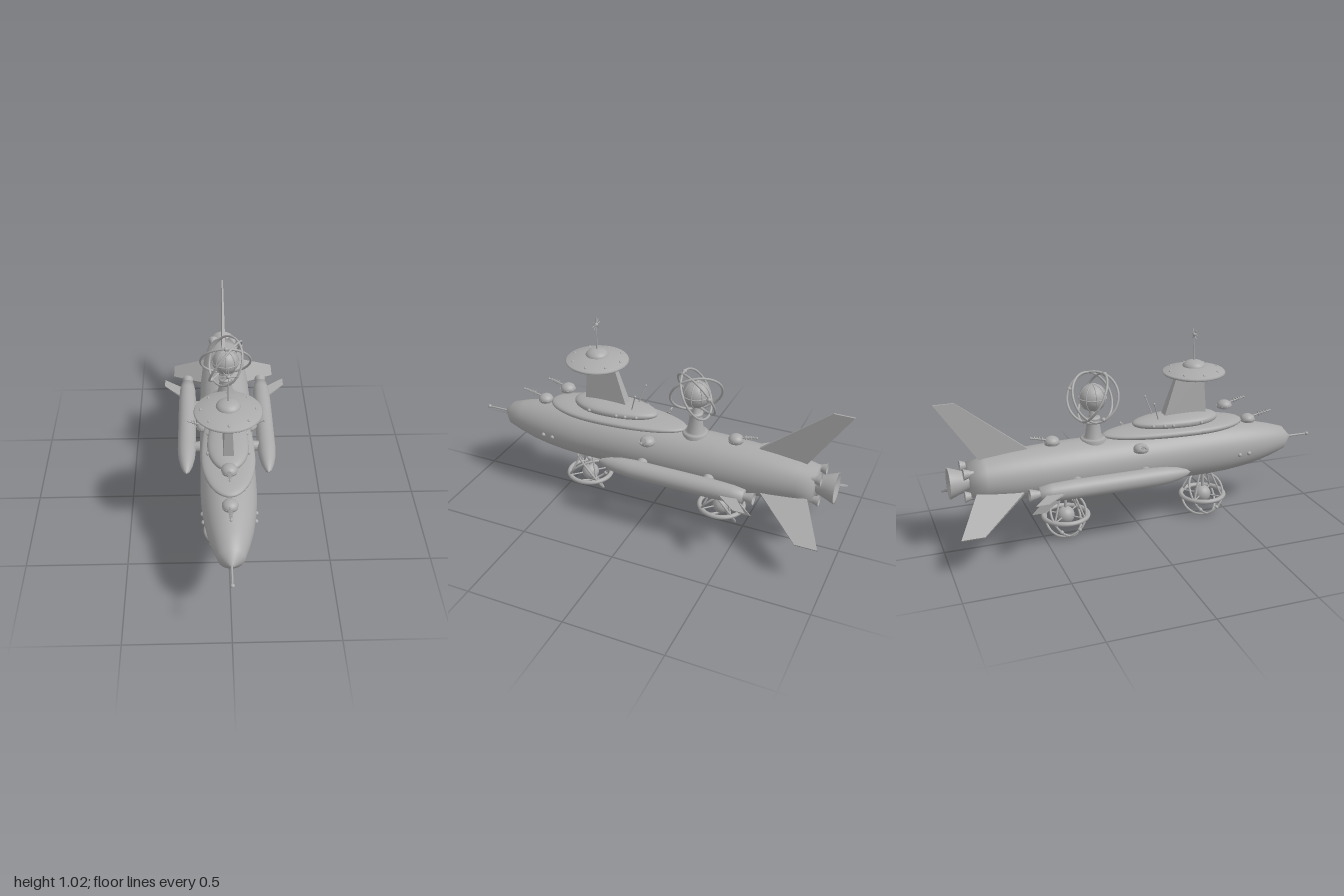
import * as THREE from 'three';

const hullGrey = new THREE.MeshStandardMaterial({ color: 0xaaaaaa });
hullGrey.name = 'hullGrey';

const V = (x, y, z) => new THREE.Vector3(x, y, z);
const UP = V(0, 1, 0);

function add(parent, name, geo, x = 0, y = 0, z = 0) {
  const m = new THREE.Mesh(geo, hullGrey);
  m.name = name;
  m.position.set(x, y, z);
  parent.add(m);
  return m;
}

function group(parent, name, x = 0, y = 0, z = 0) {
  const g = new THREE.Group();
  g.name = name;
  g.position.set(x, y, z);
  parent.add(g);
  return g;
}

const ball = (parent, name, r, x, y, z) => add(parent, name, new THREE.SphereGeometry(r, 20, 14), x, y, z);

// Lathe from [radius, height] pairs, listed from the bottom up
const lathe = (pts, n = 40) => new THREE.LatheGeometry(pts.map(p => new THREE.Vector2(p[0], p[1])), n);
const latheZ = (pts, n) => lathe(pts, n).rotateX(Math.PI / 2);

// Straight round bar between two points
function rod(parent, name, a, b, r0, r1 = r0) {
  const d = b.clone().sub(a);
  const m = add(parent, name, new THREE.CylinderGeometry(r1, r0, d.length(), 12));
  m.position.copy(a).addScaledVector(d, 0.5);
  m.quaternion.setFromUnitVectors(UP, d.normalize());
  return m;
}

// Ring whose axis follows the given normal
function ring(parent, name, R, r, n) {
  const m = add(parent, name, new THREE.TorusGeometry(R, r, 10, 56));
  m.quaternion.setFromUnitVectors(V(0, 0, 1), n.clone().normalize());
  return m;
}

// Fin from [z, radius] corners, thinning toward the tip, turned around z
function fin(parent, name, corners, thick, angle) {
  const s = new THREE.Shape(corners.map(c => new THREE.Vector2(c[0], c[1])));
  const g = new THREE.ExtrudeGeometry(s, { depth: thick, bevelEnabled: false });
  g.translate(0, 0, -thick / 2).rotateY(-Math.PI / 2);
  const rs = corners.map(c => c[1]), lo = Math.min(...rs), hi = Math.max(...rs);
  const p = g.attributes.position;
  for (let i = 0; i < p.count; i++) p.setX(i, p.getX(i) * (1 - 0.65 * (p.getY(i) - lo) / (hi - lo)));
  g.computeVertexNormals();
  const m = add(parent, name, g);
  m.rotation.z = angle;
}

// Teardrop deck: flattened sphere with different front and rear lengths
function deck(parent, name, w, h, front, rear, y, z) {
  const g = new THREE.SphereGeometry(1, 48, 24);
  const p = g.attributes.position;
  for (let i = 0; i < p.count; i++) {
    const k = p.getZ(i), py = p.getY(i);
    p.setXYZ(i, p.getX(i) * w, Math.sign(py) * Math.pow(Math.abs(py), 0.85) * h, k * (k > 0 ? front : rear));
  }
  g.computeVertexNormals();
  add(parent, name, g, x0, y, z);
}
const x0 = 0;

// Domed turret with a ribbed gun pointing along +z before turning
function turret(parent, x, y, z, yaw, len = 0.13) {
  const t = group(parent, 'turret', x, y, z);
  t.rotation.y = yaw;
  add(t, 'turretBase', new THREE.CylinderGeometry(0.04, 0.036, 0.012, 24), 0, -0.012, 0);
  add(t, 'turretDome', new THREE.SphereGeometry(0.038, 24, 10, 0, Math.PI * 2, 0, Math.PI / 2).scale(1, 0.75, 1), 0, -0.006, 0);
  const tip = V(0, 0.026, len), dir = tip.clone().normalize();
  rod(t, 'gunBarrel', V(0, 0.005, 0.015), tip, 0.004);
  for (let i = 0; i < 4; i++) {
    const c = dir.clone().multiplyScalar(len * (0.5 + i * 0.12));
    c.y += 0.003;
    rod(t, 'gunRib', c.clone().addScaledVector(dir, -0.002), c.clone().addScaledVector(dir, 0.002), 0.011 - i * 0.0012);
  }
  ball(t, 'gunTip', 0.006, 0, 0.026, len);
}

export function createModel() {
  const model = new THREE.Group();
  model.name = 'rocketShip';
  const AX = 0.367;

  // Hull, nose probe and engines
  const hull = group(model, 'hull', 0, AX, 0);
  add(hull, 'hullBody', latheZ([[0, -0.86], [0.092, -0.86], [0.108, -0.78], [0.121, -0.66], [0.131, -0.52], [0.136, -0.35],
    [0.136, 0.38], [0.132, 0.48], [0.122, 0.58], [0.107, 0.67], [0.087, 0.75], [0.062, 0.83], [0.012, 0.875], [0, 0.88]], 48));
  rod(hull, 'noseProbe', V(0, 0, 0.86), V(0, 0, 0.99), 0.006, 0.004);
  ball(hull, 'probeTip', 0.01, 0, 0, 0.99);
  const bell = (p, name, x, y, z, r0, r1, len) => add(p, name, latheZ([[0, -len * 0.6], [r1 * 0.9, -len], [r1, -len],
    [r0 + (r1 - r0) * 0.45, -len * 0.45], [r0, 0], [r0, 0.02]], 28), x, y, z);
  bell(hull, 'mainNozzle', 0, 0, -0.86, 0.042, 0.078, 0.095);
  for (const sx of [-1, 1]) for (const sy of [-1, 1]) bell(hull, 'smallNozzle', sx * 0.055, sy * 0.058, -0.855, 0.016, 0.028, 0.034);
  fin(hull, 'topFin', [[-0.53, 0.1], [-0.9, 0.398], [-1, 0.398], [-0.79, 0.08]], 0.024, 0);
  for (const s of [-1, 1]) {
    fin(hull, 'lowerFin', [[-0.575, 0.09], [-0.845, 0.335], [-0.955, 0.335], [-0.83, 0.08]], 0.024, s * Math.PI * 2 / 3);
    ball(hull, 'porthole', 0.011, s * 0.122, -0.014, 0.58);
    ball(hull, 'porthole', 0.011, s * 0.126, -0.014, 0.525);
  }

  // Side pods, mirrored
  for (const s of [-1, 1]) {
    const pod = group(model, 'sidePod', s * 0.205, 0.337, 0);
    add(pod, 'podBody', latheZ([[0, -0.56], [0.035, -0.56], [0.043, -0.5], [0.047, -0.4], [0.047, 0.02], [0.042, 0.09],
      [0.031, 0.15], [0.016, 0.195], [0, 0.213]], 28));
    bell(pod, 'podNozzle', 0, 0, -0.56, 0.017, 0.031, 0.05);
    fin(pod, 'podOuterFin', [[-0.435, 0.03], [-0.55, 0.128], [-0.61, 0.128], [-0.53, 0.03]], 0.01, -s * Math.PI / 2);
    fin(pod, 'podLowerFin', [[-0.435, 0.03], [-0.54, 0.102], [-0.6, 0.102], [-0.53, 0.03]], 0.01, Math.PI);
    for (const z of [-0.355, 0.0]) rod(pod, 'podStrut', V(-s * 0.1, 0.005, z), V(0, 0, z), 0.03, 0.022);
  }

  // Stacked upper decks with portholes and whisker aerials
  deck(model, 'lowerDeck', 0.13, 0.033, 0.28, 0.48, 0.508, 0.3);
  deck(model, 'upperDeck', 0.1, 0.037, 0.18, 0.28, 0.548, 0.26);
  for (const s of [-1, 1]) {
    for (const [x, z] of [[0.098, 0.315], [0.094, 0.165], [0.087, 0.12], [0.072, 0.065]]) ball(model, 'deckPorthole', 0.009, s * x, 0.549, z);
    rod(model, 'whisker', V(s * 0.04, 0.565, 0.105), V(s * 0.065, 0.665, 0.072), 0.003);
    ball(model, 'whiskerTip', 0.006, s * 0.065, 0.665, 0.072);
  }

  // Tapered tower carrying the saucer
  const tower = new THREE.BoxGeometry(1, 1, 1).toNonIndexed();
  const tp = tower.attributes.position;
  for (let i = 0; i < tp.count; i++) {
    const top = tp.getY(i) > 0, front = tp.getZ(i) > 0;
    tp.setXYZ(i, Math.sign(tp.getX(i)) * (top ? 0.014 : 0.026), top ? 0.785 : 0.565, front ? (top ? 0.36 : 0.372) : (top ? 0.215 : 0.14));
  }
  tower.computeVertexNormals();
  add(model, 'saucerTower', tower);

  const saucer = group(model, 'saucer', 0, 0, 0.31);
  add(saucer, 'saucerDisc', lathe([[0, 0.762], [0.08, 0.764], [0.125, 0.773], [0.155, 0.784], [0.16, 0.79], [0.155, 0.797], [0.11, 0.81], [0.058, 0.822], [0, 0.824]], 56));
  add(saucer, 'saucerDome', new THREE.SphereGeometry(0.058, 32, 12, 0, Math.PI * 2, 0, Math.PI / 2).scale(1, 0.58, 1), 0, 0.819, 0);
  for (let i = 0; i < 8; i++) {
    const a = i * Math.PI / 4;
    ball(saucer, 'saucerLight', 0.007, Math.sin(a) * 0.128, 0.804, Math.cos(a) * 0.128);
  }
  rod(saucer, 'mast', V(0, 0.84, 0), V(0, 1.026, 0), 0.004, 0.002);
  ball(saucer, 'mastBall', 0.01, 0, 0.983, 0);
  for (const a of [0, 45, 135]) {
    const r = a ? 0.032 : 0.04, c = Math.cos(a * Math.PI / 180) * r, s = Math.sin(a * Math.PI / 180) * r;
    rod(saucer, 'mastSpike', V(-c, 0.983 - s, 0), V(c, 0.983 + s, 0), 0.002);
  }

  // Top gyroscope on its pedestal
  const gyro = group(model, 'topGyroscope', 0, 0.715, -0.227);
  add(gyro, 'pedestal', lathe([[0.066, -0.24], [0.066, -0.212], [0.058, -0.205], [0.042, -0.203], [0.03, -0.115], [0.036, -0.112], [0.036, -0.1], [0.018, -0.098], [0.018, -0.05]], 32));
  ball(gyro, 'core', 0.068, 0, 0, 0);
  for (const n of [V(0, 1, 0), V(1, 0, 0), V(0, 0, 1), V(1, 0, 1), V(1, 0, -1)]) ring(gyro, 'coreBand', 0.068, 0.003, n);
  ring(gyro, 'orbitRing', 0.129, 0.006, V(0, -0.5, 0.87));
  for (const s of [-1, 1]) ring(gyro, 'orbitRing', 0.129, 0.006, V(0.76, -0.46, s * 0.46));
  ball(gyro, 'orbitBead', 0.011, 0.081, 0.03, -0.095);
  ball(gyro, 'orbitBead', 0.011, 0, 0.112, 0.064);
  ball(gyro, 'orbitBead', 0.011, -0.075, -0.095, 0.03);

  // Two landing gyroscopes below
  for (const z of [0.375, -0.38]) {
    const g = group(model, 'landingGyroscope', 0, 0.106, z);
    ball(g, 'core', 0.045, 0, 0, 0);
    ring(g, 'flatRing', 0.113, 0.012, UP);
    for (const s of [-1, 1]) {
      ring(g, 'orbitRing', 0.112, 0.006, V(0.6, -0.5, s * 0.56));
      ball(g, 'orbitBead', 0.011, -0.086, -0.052, s * 0.047);
      for (const q of [-1, 1]) rod(g, 'leg', V(s * 0.079, 0, q * 0.079), V(s * 0.025, 0.15, q * 0.025), 0.005);
      rod(g, 'spoke', V(-0.079, 0, -s * 0.079), V(0.079, 0, s * 0.079), 0.004);
    }
    ball(g, 'orbitBead', 0.011, 0.008, 0.089, 0);
    rod(g, 'post', V(0, 0, 0), V(0, 0.15, 0), 0.008);
  }

  // Turrets: nose, deck front, tail and both flanks
  turret(model, 0, 0.503, 0.625, 0);
  turret(model, 0, 0.596, 0.487, 0, 0.11);
  turret(model, 0, 0.517, -0.44, Math.PI, 0.105);
  for (const s of [-1, 1]) turret(model, s * 0.115, 0.463, -0.017, s * Math.PI / 2, 0.077);

  return model;
}
